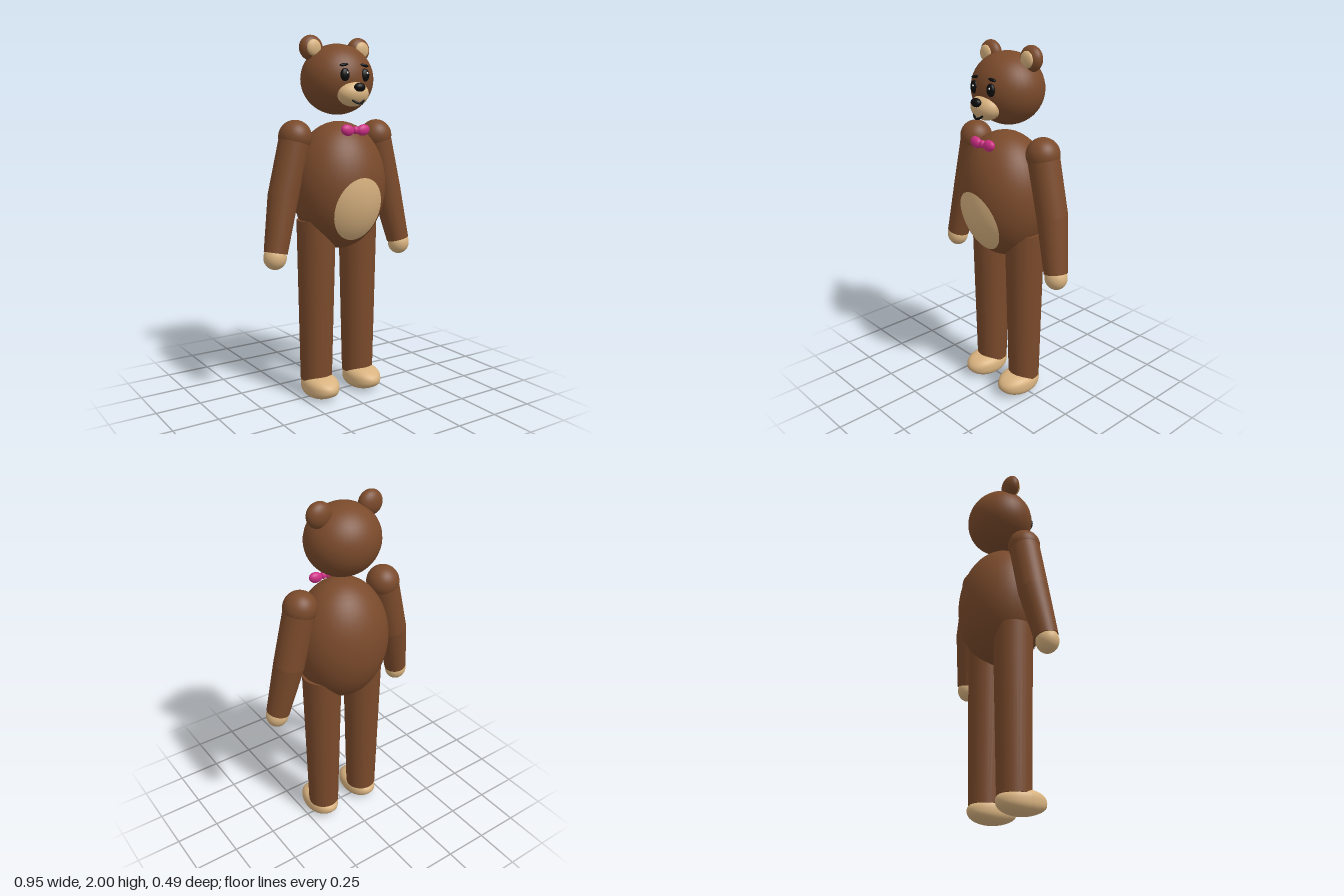
import * as THREE from 'three';

const material = (name, color, extra = {}) => {
  const m = new THREE.MeshStandardMaterial({ color, ...extra });
  m.name = name;
  return m;
};

export function createModel() {
  const model = new THREE.Group();
  model.name = 'bear';
  const brown = material('brown fur', 0x7a4a2b);
  const tan = material('tan fur', 0xd9b380);
  const black = material('black', 0x0d0d0d);
  const pink = material('pink bow', 0xcf2f86);
  const white = material('white', 0xf5f5f5);

  const add = (name, geometry, mat, pos = [0, 0, 0]) => {
    const mesh = new THREE.Mesh(geometry, mat);
    mesh.name = name;
    mesh.position.set(...pos);
    model.add(mesh);
    return mesh;
  };
  const ball = (name, mat, pos, radii, tilt = 0) => {
    const geometry = new THREE.SphereGeometry(1, 36, 24).scale(...radii).rotateZ(tilt);
    return add(name, geometry, mat, pos);
  };
  // Tapered limb between two points
  const limb = (name, mat, top, bottom, rTop, rBottom) => {
    const a = new THREE.Vector3(...top), b = new THREE.Vector3(...bottom);
    const dir = a.clone().sub(b);
    const geometry = new THREE.CylinderGeometry(rTop, rBottom, dir.length(), 32);
    const mesh = add(name, geometry, mat, a.add(b).multiplyScalar(0.5).toArray());
    mesh.quaternion.setFromUnitVectors(new THREE.Vector3(0, 1, 0), dir.normalize());
    return mesh;
  };

  // Torso
  const bodyY = 1.195, body = [0.27, 0.352, 0.241];
  ball('body', brown, [0, bodyY, 0], body);

  // Belly patch: an oval disc wrapped onto the front of the torso
  const belly = new THREE.RingGeometry(0.0001, 1, 48, 12).scale(0.148, 0.173, 1);
  const p = belly.attributes.position;
  for (let i = 0; i < p.count; i++) {
    const x = p.getX(i), y = p.getY(i) + 1.078;
    const k = 1 - (x / body[0]) ** 2 - ((y - bodyY) / body[1]) ** 2;
    p.setXYZ(i, x, y, body[2] * Math.sqrt(Math.max(k, 0)) + 0.005);
  }
  belly.computeVertexNormals();
  add('bellyPatch', belly, tan);

  // Head and muzzle
  ball('head', brown, [0, 1.77, -0.015], [0.205, 0.19, 0.186]);
  ball('muzzle', tan, [0, 1.69, 0.138], [0.092, 0.067, 0.068]);
  ball('nose', black, [0, 1.722, 0.202], [0.033, 0.023, 0.022]);

  // Smile
  const smile = new THREE.QuadraticBezierCurve3(
    new THREE.Vector3(-0.036, 1.658, 0.187),
    new THREE.Vector3(0, 1.62, 0.215),
    new THREE.Vector3(0.036, 1.658, 0.187));
  add('mouth', new THREE.TubeGeometry(smile, 20, 0.006, 8), black);

  // Bow tie knot
  ball('bowKnot', pink, [0, 1.5, 0.163], [0.018, 0.021, 0.018]);

  // Foot: a sphere squared off a little in cross-section
  const foot = new THREE.SphereGeometry(1, 36, 24);
  const f = foot.attributes.position;
  for (let i = 0; i < f.count; i++) {
    const x = f.getX(i), y = f.getY(i), z = f.getZ(i);
    const r = Math.hypot(x, y);
    const n = (Math.abs(x) ** 2.7 + Math.abs(y) ** 2.7) ** (1 / 2.7);
    const s = n > 1e-6 ? r / n : 1;
    f.setXYZ(i, x * s * 0.095, y * s * 0.064, z * 0.14);
  }
  foot.computeVertexNormals();

  for (const s of [1, -1]) {
    const side = s > 0 ? 'left' : 'right';

    // Ears
    ball(side + 'Ear', brown, [s * 0.153, 1.933, -0.035], [0.069, 0.067, 0.045]);
    ball(side + 'InnerEar', tan, [s * 0.155, 1.932, 0], [0.043, 0.043, 0.018]);

    // Eyes and brows
    ball(side + 'Eye', black, [s * 0.063, 1.787, 0.158], [0.027, 0.034, 0.017]);
    ball(side + 'EyeHighlight', white, [s * 0.063 + 0.006, 1.797, 0.172], [0.006, 0.006, 0.005]);
    ball(side + 'Brow', black, [s * 0.065, 1.838, 0.15], [0.027, 0.008, 0.012], -s * 0.15);

    // Bow tie loops
    ball(side + 'BowLoop', pink, [s * 0.05, 1.5, 0.163], [0.04, 0.03, 0.023], s * 0.2);

    // Arms
    const elbow = [s * 0.343, 1.15, -0.015];
    const wrist = [s * 0.408, 0.855, 0.015];
    ball(side + 'Shoulder', brown, [s * 0.265, 1.464, -0.017], [0.09, 0.09, 0.09]);
    limb(side + 'UpperArm', brown, [s * 0.265, 1.464, -0.017], elbow, 0.085, 0.083);
    ball(side + 'Elbow', brown, elbow, [0.083, 0.083, 0.083]);
    limb(side + 'Forearm', brown, elbow, wrist, 0.083, 0.064);
    ball(side + 'Hand', tan, [s * 0.413, 0.832, 0.017], [0.063, 0.066, 0.06]);

    // Legs and feet
    limb(side + 'Leg', brown, [s * 0.138, 1.01, -0.014], [s * 0.141, 0.1, -0.016], 0.109, 0.089);
    add(side + 'Foot', foot, tan, [s * 0.142, 0.068, 0.025]);
  }

  // Stand on the ground
  model.updateMatrixWorld(true);
  const low = new THREE.Box3().setFromObject(model, true).min.y;
  for (const part of model.children) part.position.y -= low;
  return model;
}
